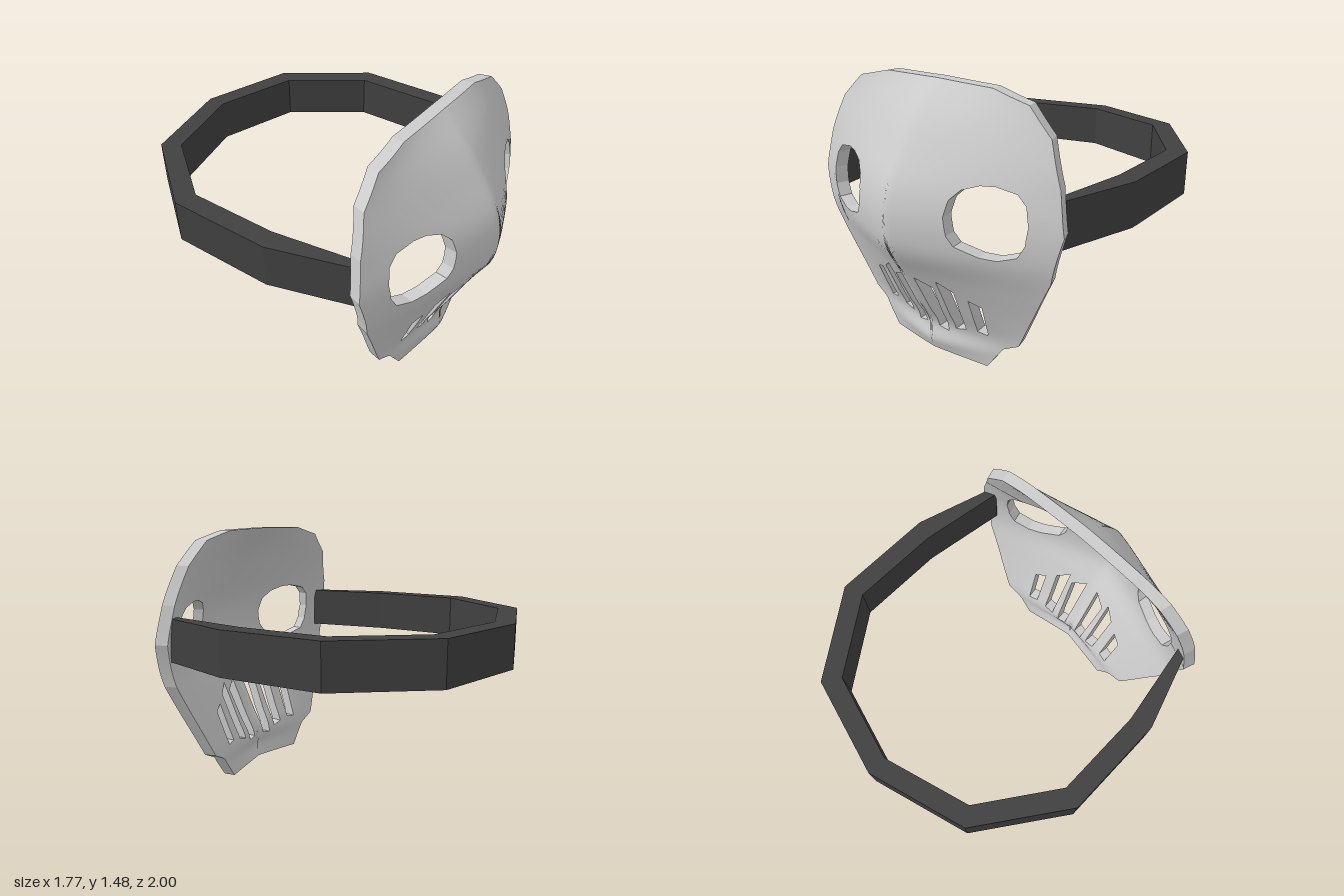
import * as THREE from 'three';

const toPoints = (list) => list.map(([x, y]) => new THREE.Vector2(x, y));

// Left half of the face plate, seen from the front, with its openings
const OUTLINE = toPoints([
  [0, 0.015], [0.334, 0], [0.434, 0.14], [0.526, 0.188], [0.756, 0.643], [0.817, 0.885],
  [0.775, 1.095], [0.695, 1.3], [0.56, 1.427], [0.35, 1.475], [0, 1.482],
]);
const OPENINGS = [
  // eye
  [[0.287, 0.92], [0.303, 1.0], [0.35, 1.05], [0.43, 1.077], [0.5, 1.08], [0.6, 1.058], [0.645, 1.01],
    [0.665, 0.92], [0.655, 0.83], [0.62, 0.765], [0.53, 0.735], [0.45, 0.74], [0.335, 0.78], [0.303, 0.83]],
  // breathing slots
  [[0.045, 0.52], [0.135, 0.473], [0.105, 0.15], [0.047, 0.162]],
  [[0.168, 0.525], [0.245, 0.47], [0.222, 0.197], [0.157, 0.18]],
  [[0.31, 0.432], [0.375, 0.402], [0.355, 0.2], [0.295, 0.21]],
].map(toPoints);

// Height, then depth on the centre line, depth at the rim, half width
const SECTIONS = [
  [-0.1, 0.68, 0.66, 0.25], [0.02, 0.715, 0.66, 0.34], [0.085, 0.738, 0.65, 0.42],
  [0.16, 0.715, 0.64, 0.5], [0.31, 0.785, 0.655, 0.59], [0.55, 0.9, 0.69, 0.71],
  [0.7, 0.98, 0.705, 0.775], [0.8, 0.997, 0.7, 0.805], [0.9, 0.995, 0.69, 0.817],
  [1.02, 0.964, 0.675, 0.795], [1.167, 0.878, 0.655, 0.75], [1.34, 0.755, 0.62, 0.66],
  [1.48, 0.615, 0.595, 0.55], [1.6, 0.49, 0.575, 0.5],
];
const sections = new THREE.CubicInterpolant(
  SECTIONS.map((s) => s[0]), SECTIONS.flatMap((s) => s.slice(1)), 3, new Float32Array(3));

// Depth of the curved face at a point of the outline plane
function depth(x, y) {
  const [centre, rim, width] = sections.evaluate(y);
  return rim + (centre - rim) * (1 - Math.pow(Math.abs(x) / width, 1.15));
}

function faceNormal(p) {
  const h = 0.03;
  return new THREE.Vector3(
    (depth(p.x - h, p.y) - depth(p.x + h, p.y)) / (2 * h),
    (depth(p.x, p.y - h) - depth(p.x, p.y + h)) / (2 * h), 1).normalize();
}

const front = (p) => new THREE.Vector3(p.x, p.y, depth(p.x, p.y));
const back = (p) => new THREE.Vector3(p.x * 0.97, p.y, depth(p.x, p.y) - 0.068);

// Split a flat triangle into four, several times over
function subdivide(a, b, c, level, emit) {
  if (level === 0) return emit(a, b, c);
  const mid = (p, q) => p.clone().add(q).multiplyScalar(0.5);
  const ab = mid(a, b), bc = mid(b, c), ca = mid(c, a);
  for (const t of [[a, ab, ca], [ab, b, bc], [ca, bc, c], [ab, bc, ca]]) subdivide(...t, level - 1, emit);
}

function createFacePlate() {
  const positions = [], normals = [];
  const LEVEL = 4, STEPS = 2 ** LEVEL;

  // Adds a triangle and its mirror image
  const addTriangle = (points, norms) => {
    for (const side of [1, -1]) {
      for (const i of side === 1 ? [0, 1, 2] : [0, 2, 1]) {
        positions.push(points[i].x * side, points[i].y, points[i].z);
        normals.push(norms[i].x * side, norms[i].y, norms[i].z);
      }
    }
  };
  const addFlat = (a, b, c) => {
    const n = new THREE.Triangle(a, b, c).getNormal(new THREE.Vector3());
    addTriangle([a, b, c], [n, n, n]);
  };

  // Smooth front and back surfaces
  const shape = new THREE.Shape(OUTLINE);
  shape.holes = OPENINGS.map((points) => new THREE.Path(points));
  const flat = new THREE.ShapeGeometry(shape);
  const corner = (i) => new THREE.Vector2().fromBufferAttribute(flat.attributes.position, flat.index.getX(i));
  for (let i = 0; i < flat.index.count; i += 3) {
    subdivide(corner(i), corner(i + 1), corner(i + 2), LEVEL, (a, b, c) => {
      addTriangle([a, b, c].map(front), [a, b, c].map(faceNormal));
      addTriangle([a, c, b].map(back), [a, c, b].map((p) => faceNormal(p).negate()));
    });
  }

  // Flat walls around the rim and inside the openings
  [OUTLINE, ...OPENINGS].forEach((points, k) => {
    const loop = THREE.ShapeUtils.isClockWise(points) === (k > 0) ? points : [...points].reverse();
    loop.forEach((start, i) => {
      const end = loop[(i + 1) % loop.length];
      if (start.x === 0 && end.x === 0) return;
      for (let s = 0; s < STEPS; s++) {
        const a = start.clone().lerp(end, s / STEPS);
        const b = start.clone().lerp(end, (s + 1) / STEPS);
        addFlat(front(a), back(a), back(b));
        addFlat(front(a), back(b), front(b));
      }
    });
  });

  const geometry = new THREE.BufferGeometry();
  geometry.setAttribute('position', new THREE.Float32BufferAttribute(positions, 3));
  geometry.setAttribute('normal', new THREE.Float32BufferAttribute(normals, 3));
  const mesh = new THREE.Mesh(geometry, new THREE.MeshStandardMaterial({ color: 0xcccccc }));
  mesh.name = 'facePlate';
  return mesh;
}

function createStrap() {
  // Left half of the band from above, as x and z, from the mask to the back of the head
  const outer = [[0.748, 0.65], [0.885, 0.196], [0.885, -0.385], [0.55, -0.85], [0, -1]];
  const inner = [[0.7, 0.65], [0.775, 0.155], [0.775, -0.35], [0.485, -0.755], [0, -0.89]];
  const across = (half) => [...half, ...half.slice(0, -1).reverse().map(([x, z]) => [-x, z])];
  const band = new THREE.Shape(toPoints([...across(outer), ...across(inner).reverse()]));
  const geometry = new THREE.ExtrudeGeometry(band, { depth: 0.24, bevelEnabled: false });
  geometry.rotateX(Math.PI / 2).translate(0, 1.025, 0);
  const mesh = new THREE.Mesh(geometry, new THREE.MeshStandardMaterial({ color: 0x404040 }));
  mesh.name = 'headStrap';
  return mesh;
}

export function createModel() {
  const model = new THREE.Group();
  model.name = 'mask';
  model.add(createFacePlate(), createStrap());
  return model;
}
